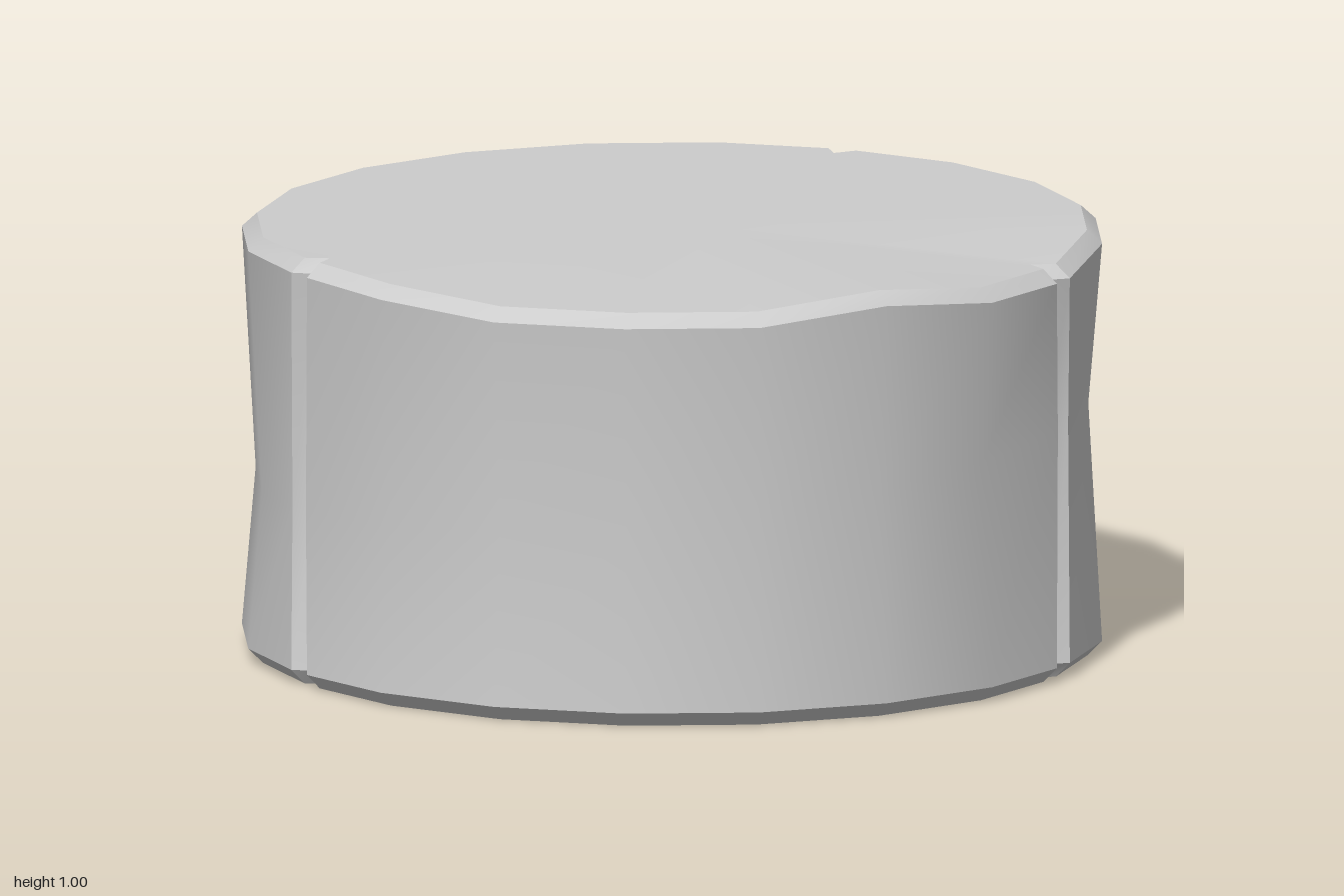
import * as THREE from 'three';
import { toCreasedNormals } from 'three/addons/utils/BufferGeometryUtils.js';

const SIDES = 20;
const DEG = Math.PI / 180;
// Corner index -> how far the carved crack swings at mid height (degrees)
const CRACKS = { 2: -4.5, 9: 3.5, 17: 3.8 };
// Corner index -> drop of the worn top rim
const WORN_TOP = { 2: 0.03, 3: 0.03, 5: 0.03, 6: 0.03, 7: 0.03, 8: 0.01 };
// Corner index -> rise of the chipped bottom edge
const CHIPPED_BASE = { 18: 0.04, 19: 0.04, 17: -0.01 };

// Outline stations around the drum; a crack turns one corner into a V of three
function outline() {
  const stations = [];
  for (let k = 0; k < SIDES; k++) {
    const angle = k * 360 / SIDES;
    if (k in CRACKS) {
      for (const offset of [-2.1, 0, 2.1]) {
        stations.push({ k, angle: angle + offset, swing: CRACKS[k], edge: offset !== 0, groove: offset === 0 });
      }
    } else {
      stations.push({ k, angle, swing: 0, edge: false, groove: false });
    }
  }
  return stations;
}

// Five points from the base up to the top rim at one station
function column(s) {
  const drop = WORN_TOP[s.k] || 0;
  const chip = CHIPPED_BASE[s.k] || 0;
  const cut = s.groove ? 0.045 : s.edge ? 0.007 : 0;
  const rimCut = s.groove ? 0.055 : cut;
  const midY = 0.5 + 0.1 * Math.cos(s.angle * DEG);
  const at = (r, y, angle = s.angle) =>
    [r * Math.cos(angle * DEG), y, r * Math.sin(angle * DEG)];
  return [
    at(0.965 - rimCut - Math.max(chip, 0) * 0.8, 0),
    at(1 - cut, 0.035 + chip),
    at(0.968 - cut, midY, s.angle + s.swing),
    at(1 - cut, 0.97 - drop),
    at(0.965 - rimCut, 1.002 - drop),
  ];
}

export function createModel() {
  const group = new THREE.Group();
  group.name = 'stoneDrum';

  const columns = outline().map(column);
  const positions = [];
  const tri = (...points) => points.forEach((p) => positions.push(...p));

  columns.forEach((cur, i) => {
    const next = columns[(i + 1) % columns.length];
    // Bevels and waisted wall
    for (let j = 0; j < cur.length - 1; j++) {
      tri(cur[j], cur[j + 1], next[j]);
      tri(next[j], cur[j + 1], next[j + 1]);
    }
    // Top and bottom faces
    tri([0, 1, 0], next[4], cur[4]);
    tri([0, 0, 0], cur[0], next[0]);
  });

  const geometry = new THREE.BufferGeometry();
  geometry.setAttribute('position', new THREE.Float32BufferAttribute(positions, 3));

  const drum = new THREE.Mesh(
    toCreasedNormals(geometry, 0.45),
    new THREE.MeshStandardMaterial({ color: 0xcccccc })
  );
  drum.name = 'crackedStoneBlock';
  group.add(drum);
  return group;
}
